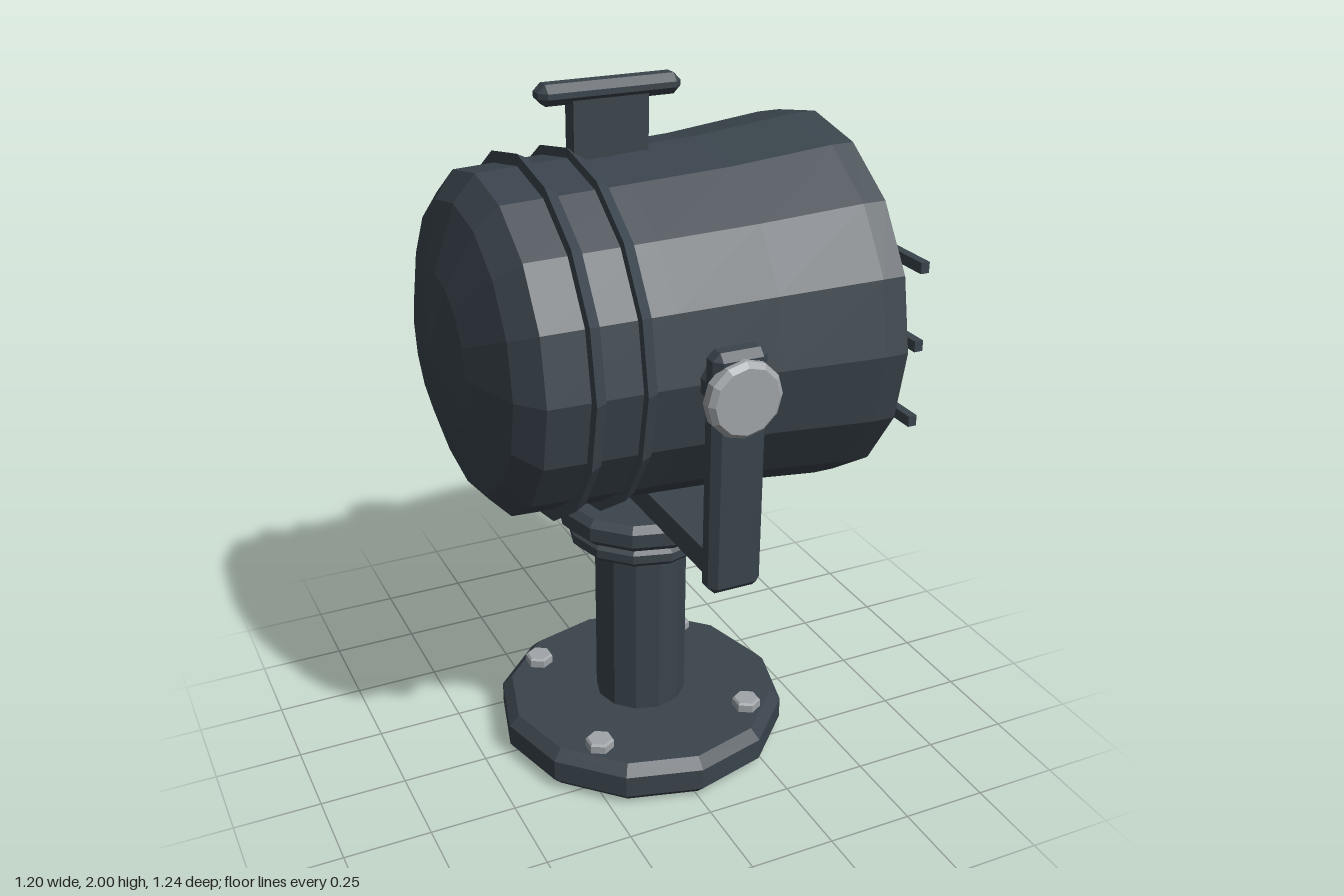
import * as THREE from 'three';
import { ConvexGeometry } from 'three/addons/geometries/ConvexGeometry.js';

const CX = 0.01;      // axis of the stand
const DRUM_Y = 1.33;  // height of the lamp axis

const darkSteel = new THREE.MeshStandardMaterial({ color: 0x3a444c });
const paleMetal = new THREE.MeshStandardMaterial({ color: 0xa0a4a8 });

// Faceted copy of a geometry
function facet(geometry) {
  const flat = geometry.index ? geometry.toNonIndexed() : geometry;
  flat.computeVertexNormals();
  return flat;
}

// Faceted solid of revolution about y; profile is [radius, height] pairs
function turned(profile, sides) {
  return facet(new THREE.LatheGeometry(profile.map(([r, y]) => new THREE.Vector2(r, y)), sides));
}

// Disc with chamfered rims
function disc(r, y0, y1, c, sides) {
  return turned([[0, y0], [r - c, y0], [r, y0 + c], [r, y1 - c], [r - c, y1], [0, y1]], sides);
}

// Box with every edge chamfered
function chamferBox(w, h, d, c) {
  const points = [];
  for (const sx of [-1, 1]) for (const sy of [-1, 1]) for (const sz of [-1, 1])
    for (let axis = 0; axis < 3; axis++) {
      const inset = [0, 1, 2].map((i) => (i === axis ? 0 : c));
      points.push(new THREE.Vector3(
        sx * (w / 2 - inset[0]), sy * (h / 2 - inset[1]), sz * (d / 2 - inset[2])));
    }
  return facet(new ConvexGeometry(points));
}

export function createModel() {
  const model = new THREE.Group();
  model.name = 'searchlight';

  function add(parent, name, geometry, material, x = 0, y = 0, z = 0) {
    const mesh = new THREE.Mesh(geometry, material);
    mesh.name = name;
    mesh.position.set(x, y, z);
    parent.add(mesh);
    return mesh;
  }

  // Stand: base plate, column and turntable
  const stand = new THREE.Group();
  stand.name = 'stand';
  stand.position.x = CX;
  model.add(stand);
  add(stand, 'basePlate', disc(0.43, 0, 0.125, 0.03, 12), darkSteel);
  add(stand, 'column', turned([[0.135, 0.11], [0.135, 0.67]], 12), darkSteel);
  add(stand, 'lowerCollar', disc(0.213, 0.655, 0.712, 0.016, 12), darkSteel);
  add(stand, 'neck', turned([[0.18, 0.7], [0.18, 0.73]], 12), darkSteel);
  add(stand, 'turntable', disc(0.245, 0.72, 0.8, 0.02, 12), darkSteel);
  for (const sx of [-1, 1]) for (const sz of [-1, 1])
    add(stand, 'baseBolt', disc(0.042, 0.12, 0.155, 0.006, 6), paleMetal, sx * 0.24, 0, sz * 0.24);

  // Yoke: crossbar, two arms and the pivot caps
  const yoke = new THREE.Group();
  yoke.name = 'yoke';
  yoke.position.x = CX;
  model.add(yoke);
  add(yoke, 'crossbar', new THREE.BoxGeometry(0.1, 0.07, 1.08), darkSteel, 0, 0.835, 0);
  for (const side of [-1, 1]) {
    add(yoke, 'yokeArm', chamferBox(0.15, 0.67, 0.072, 0.02), darkSteel, 0, 1.115, side * 0.558);
    const axle = facet(new THREE.CylinderGeometry(0.06, 0.06, 0.1, 10));
    add(yoke, 'axle', axle, darkSteel, 0, DRUM_Y, side * 0.5).rotation.x = Math.PI / 2;
    const cap = disc(0.103, -0.028, 0.028, 0.014, 12);
    add(yoke, 'pivotCap', cap, paleMetal, 0, DRUM_Y, side * 0.594).rotation.x = Math.PI / 2;
  }

  // Lamp: hollow drum opening towards +x
  const lamp = new THREE.Group();
  lamp.name = 'lamp';
  lamp.position.y = DRUM_Y;
  model.add(lamp);
  const shell = turned([
    [0, -0.6], [0.215, -0.57], [0.392, -0.51], [0.463, -0.45], [0.478, -0.1], [0.492, 0.18],
    [0.522, 0.47], [0.522, 0.535], [0.462, 0.56],
    [0.405, -0.42], [0.35, -0.475], [0.19, -0.53], [0, -0.555],
  ], 16);
  add(lamp, 'drum', shell.rotateZ(-Math.PI / 2), darkSteel);

  // Raised bands around the drum
  for (const x of [-0.32, -0.183]) {
    const band = turned([[0.45, -0.016], [0.5, -0.016], [0.484, 0.016], [0.45, 0.016]], 16);
    add(lamp, 'drumBand', band.rotateZ(-Math.PI / 2), darkSteel, x);
  }

  // Guard bars in front of the opening
  for (const y of [-0.217, 0, 0.217])
    add(lamp, 'guardBar', new THREE.BoxGeometry(0.025, 0.03, 0.985), darkSteel, 0.588, y, 0);

  // Carrying handle
  add(lamp, 'handlePost', new THREE.BoxGeometry(0.21, 0.22, 0.055), darkSteel, -0.085, 0.53, 0);
  add(lamp, 'handleGrip', chamferBox(0.396, 0.055, 0.075, 0.02), darkSteel, -0.083, 0.6425, 0);

  return model;
}
